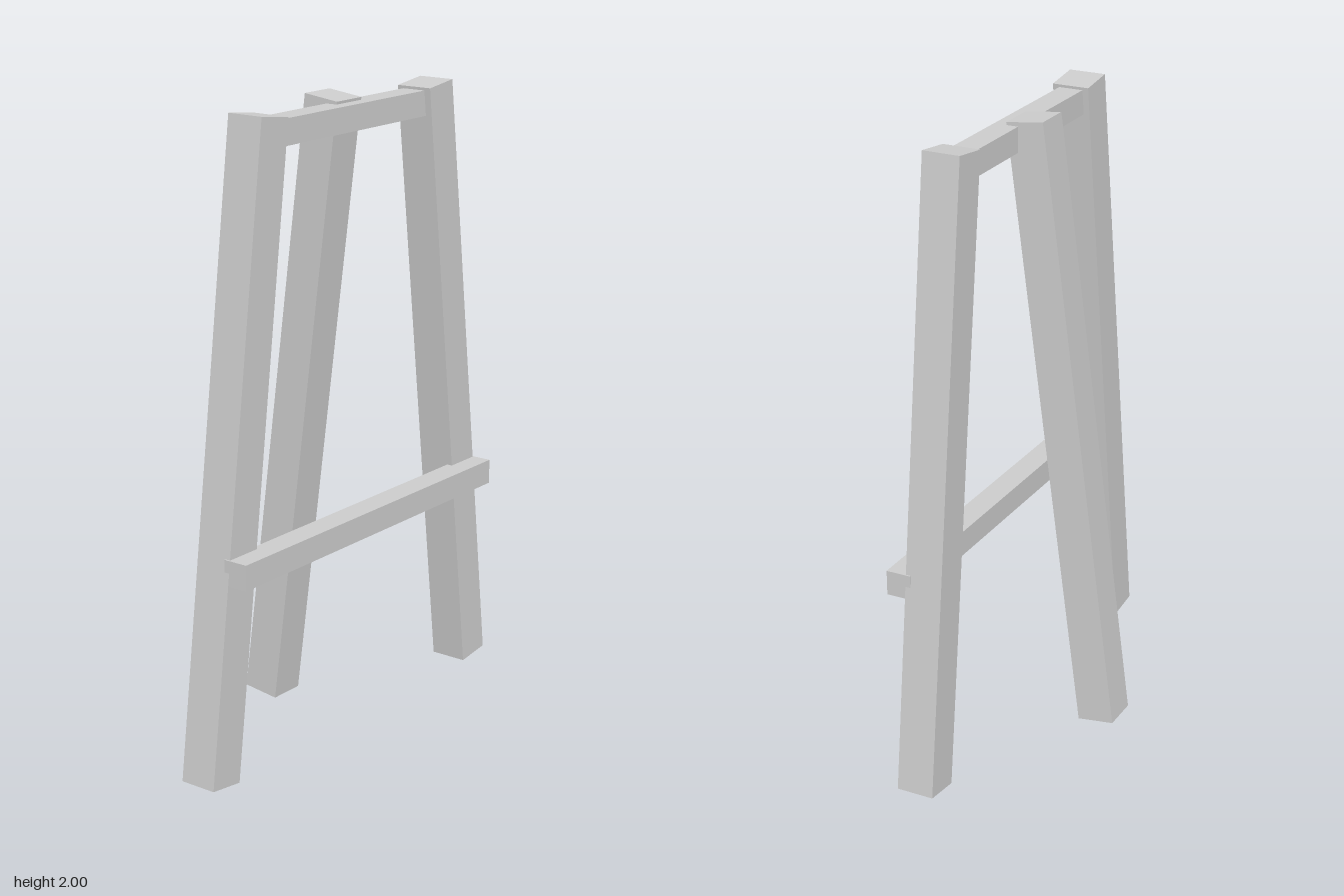
import * as THREE from 'three';

export function createModel() {
  const group = new THREE.Group();
  const material = new THREE.MeshStandardMaterial({ color: 0xcccccc, flatShading: true });

  const beam = (name, size, position, rotation = [0, 0, 0]) => {
    const mesh = new THREE.Mesh(new THREE.BoxGeometry(...size), material);
    mesh.name = name;
    mesh.position.set(...position);
    mesh.rotation.set(...rotation);
    group.add(mesh);
  };

  const thick = 0.122;
  const length = 2.0;
  const tilt = 0.124;

  // Front legs, splayed sideways
  for (const [name, side] of [['frontLegLeft', 1], ['frontLegRight', -1]]) {
    beam(name, [thick, length, thick], [side * 0.536, 1, 0.123], [0, 0, side * tilt]);
  }

  // Back leg, leaning backwards and slightly off centre
  beam('backLeg', [thick, length, thick], [0.02, 1, -0.063], [tilt, 0, 0]);

  // Cross bar at the top, ending inside the front legs
  beam('topCrossBar', [0.8, 0.08, 0.08], [0, 1.936, 0.122]);

  // Canvas ledge let into the front legs
  beam('canvasLedge', [1.274, 0.08, 0.082], [0, 0.682, 0.207]);

  return group;
}
